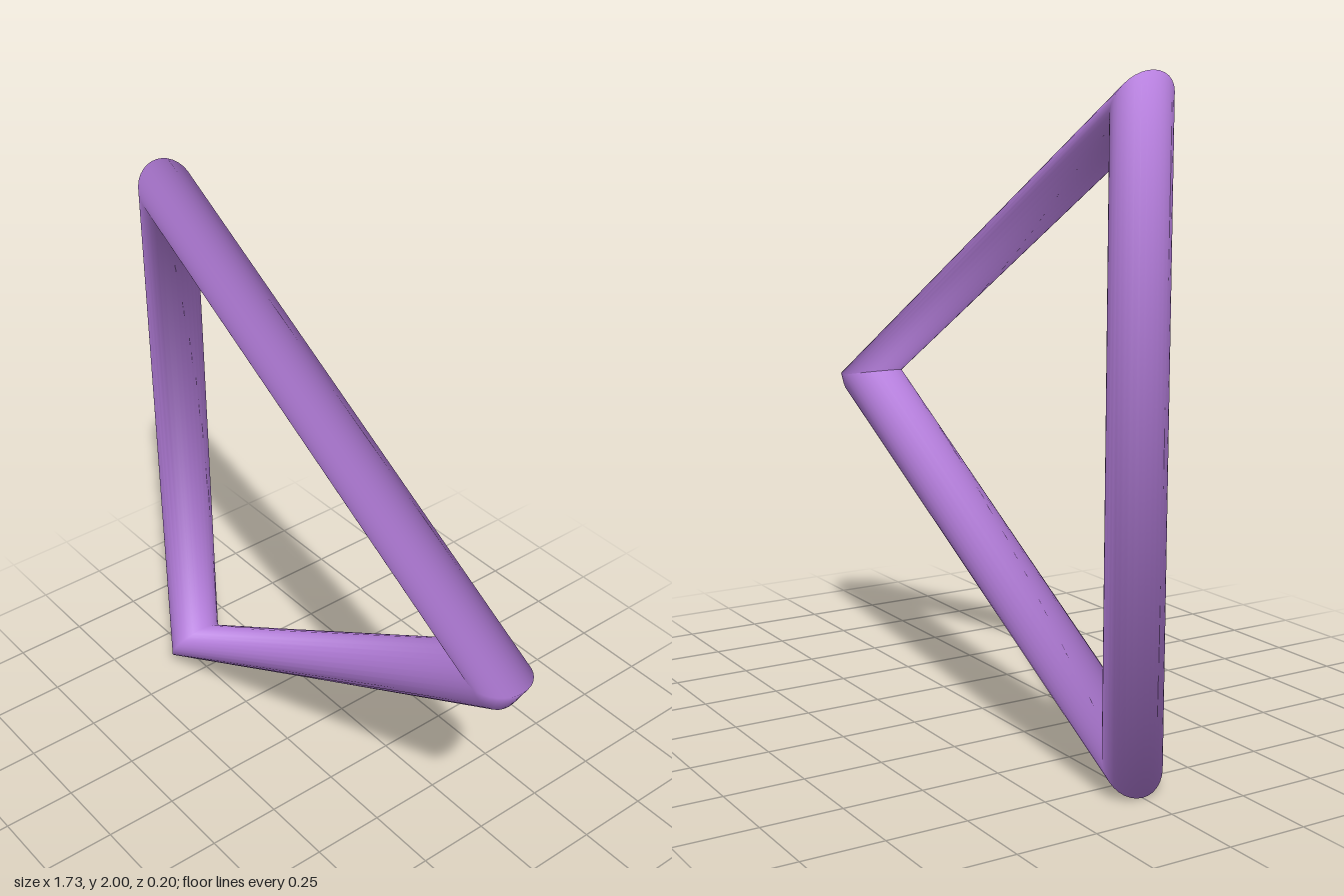
import * as THREE from 'three';

const TUBE = 0.1;
const RADIUS = 2 / Math.sqrt(3) - TUBE;
const SIDES = 32;
const CENTRE = new THREE.Vector2(-Math.sqrt(3) / 6, 1);

// Each ring: the corner it sits on and the direction its circle leans, in degrees.
// The last two share the front corner and close the loop with a small wedge.
const RINGS = [
  { corner: 0, lean: 0 },
  { corner: 120, lean: 120 },
  { corner: 240, lean: 240 },
  { corner: 360, lean: 300 },
  { corner: 360, lean: 360 },
];

function sweptTriangle() {
  const positions = [], normals = [], index = [];
  for (const ring of RINGS) {
    const c = THREE.MathUtils.degToRad(ring.corner);
    const a = THREE.MathUtils.degToRad(ring.lean);
    for (let j = 0; j <= SIDES; j++) {
      const v = (j / SIDES) * Math.PI * 2;
      const n = [Math.cos(v) * Math.cos(a), Math.cos(v) * Math.sin(a), Math.sin(v)];
      normals.push(...n);
      positions.push(
        CENTRE.x + RADIUS * Math.cos(c) + TUBE * n[0],
        CENTRE.y + RADIUS * Math.sin(c) + TUBE * n[1],
        TUBE * n[2]
      );
    }
  }
  // Join neighbouring rings
  const row = SIDES + 1;
  for (let i = 0; i < RINGS.length - 1; i++) {
    for (let j = 0; j < SIDES; j++) {
      const p = i * row + j, q = p + row;
      index.push(p, q, q + 1, p, q + 1, p + 1);
    }
  }
  const geometry = new THREE.BufferGeometry();
  geometry.setAttribute('position', new THREE.Float32BufferAttribute(positions, 3));
  geometry.setAttribute('normal', new THREE.Float32BufferAttribute(normals, 3));
  geometry.setIndex(index);
  return geometry;
}

export function createModel() {
  const lavender = new THREE.MeshStandardMaterial({ color: 0xb57edc, side: THREE.DoubleSide });
  lavender.name = 'lavender';

  const frame = new THREE.Mesh(sweptTriangle(), lavender);
  frame.name = 'triangleFrame';

  const model = new THREE.Group();
  model.name = 'triangularRing';
  model.add(frame);
  return model;
}
